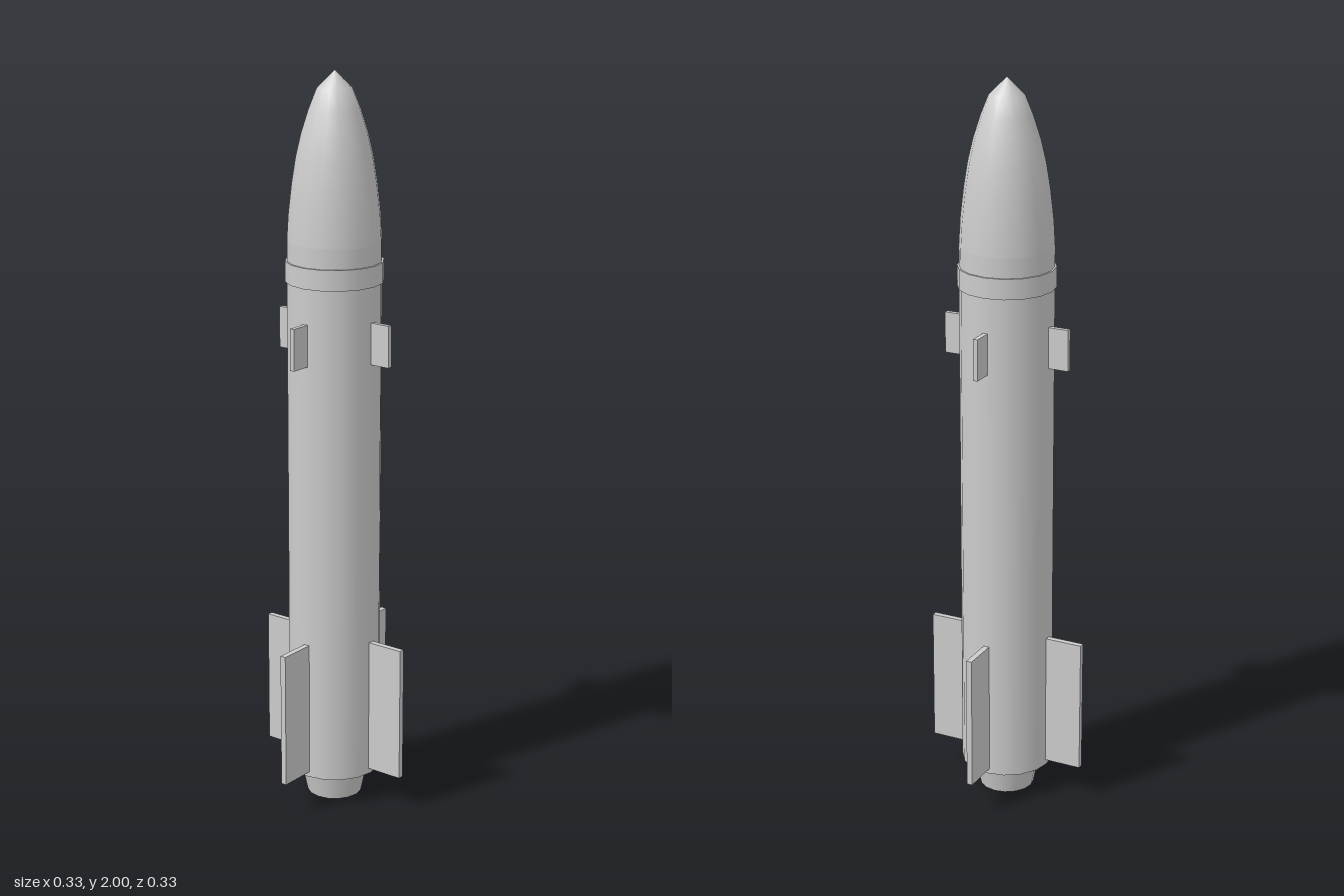
import * as THREE from 'three';

const SIDES = 16;

export function createModel() {
  const model = new THREE.Group();
  const grey = new THREE.MeshStandardMaterial({ color: 0xcccccc });
  grey.name = 'light grey';

  const add = (name, geometry, parent = model) => {
    const mesh = new THREE.Mesh(geometry, grey);
    mesh.name = name;
    parent.add(mesh);
    return mesh;
  };

  // Tapered or straight round section between two heights
  const section = (name, rTop, rBottom, y0, y1) => {
    const mesh = add(name, new THREE.CylinderGeometry(rTop, rBottom, y1 - y0, SIDES));
    mesh.position.y = (y0 + y1) / 2;
  };

  section('nozzle', 0.092, 0.075, 0, 0.08);
  section('body', 0.125, 0.125, 0.08, 1.56);
  section('collar', 0.13, 0.13, 1.452, 1.507);

  // Pointed nose, curving in towards the tip
  const profile = [
    [0.125, 1.56], [0.121, 1.63], [0.112, 1.71], [0.101, 1.78],
    [0.087, 1.84], [0.068, 1.9], [0.047, 1.953], [0, 2],
  ].map(([r, y]) => new THREE.Vector2(r, y));
  add('noseCone', new THREE.LatheGeometry(profile, SIDES));

  // Four diagonal sets of fins: large at the tail, small below the nose
  const fin = (name, parent, reach, thickness, y0, y1) => {
    const inner = 0.1;
    const mesh = add(name, new THREE.BoxGeometry(reach - inner, y1 - y0, thickness), parent);
    mesh.position.set((reach + inner) / 2, (y0 + y1) / 2, 0);
  };
  for (let i = 0; i < 4; i++) {
    const finSet = new THREE.Group();
    finSet.name = 'finSet' + (i + 1);
    finSet.rotation.y = Math.PI / 4 + (i * Math.PI) / 2;
    fin('tailFin', finSet, 0.227, 0.016, 0.095, 0.467);
    fin('noseFin', finSet, 0.18, 0.013, 1.245, 1.357);
    model.add(finSet);
  }

  return model;
}
